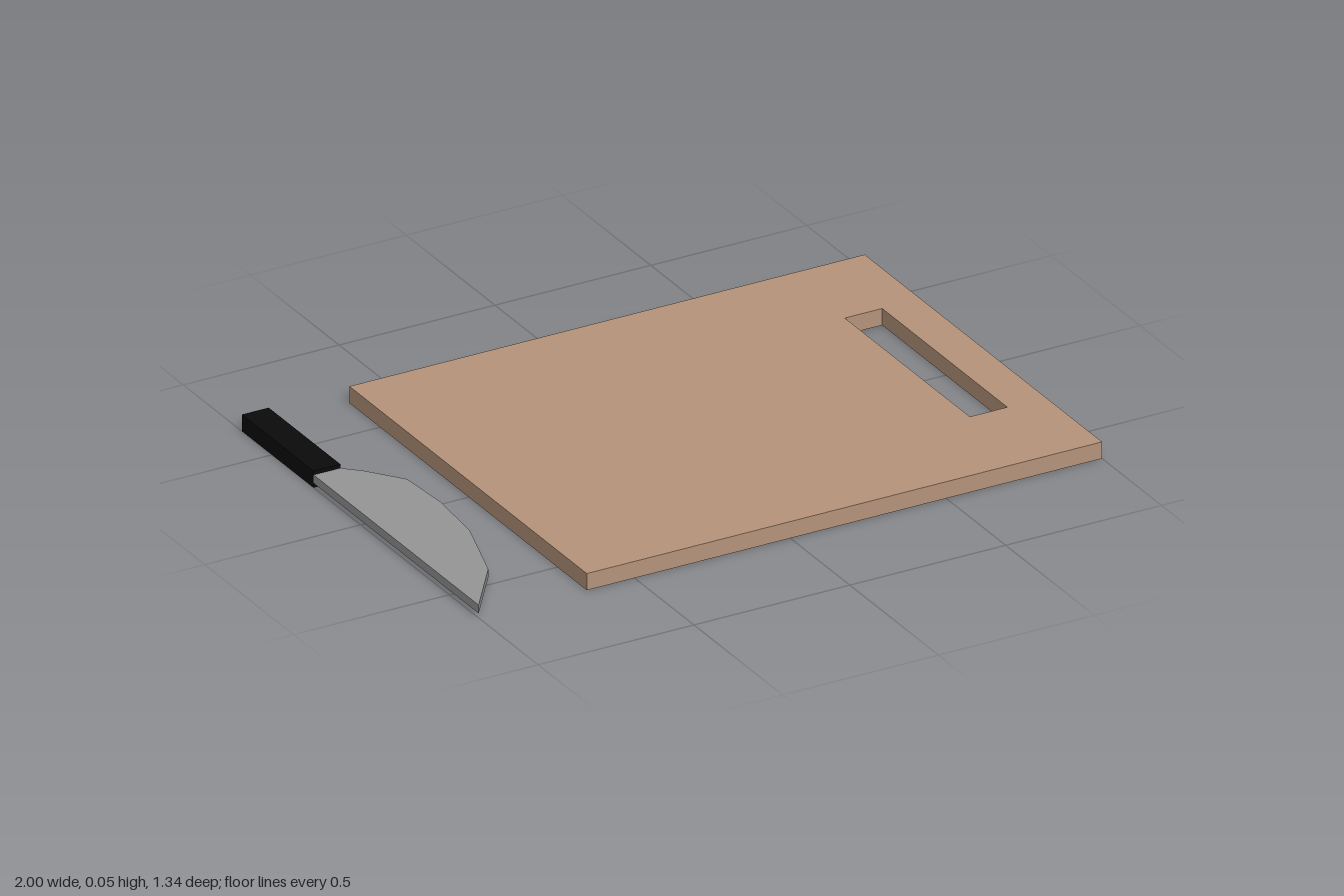
import * as THREE from 'three';

// Flat slab from an outline of [x, z] corners, spanning bottom..top in y
function slab(name, color, bottom, top, outline, holes = []) {
  const toPoints = (list) => list.map(([x, z]) => new THREE.Vector2(x, z));
  const shape = new THREE.Shape(toPoints(outline));
  for (const hole of holes) shape.holes.push(new THREE.Path(toPoints(hole)));
  const geometry = new THREE.ExtrudeGeometry(shape, { depth: top - bottom, bevelEnabled: false });
  geometry.rotateX(Math.PI / 2).translate(0, top, 0);
  const mesh = new THREE.Mesh(geometry, new THREE.MeshStandardMaterial({ color, flatShading: true }));
  mesh.name = name;
  return mesh;
}

const rect = (x0, x1, z0, z1) => [[x0, z0], [x1, z0], [x1, z1], [x0, z1]];

export function createModel() {
  const model = new THREE.Group();
  model.name = 'cuttingBoardAndKnife';

  // Board with a long grip slot
  model.add(slab('cuttingBoard', 0xb5937a, 0, 0.052,
    rect(-0.653, 1, -0.673, 0.665), [rect(0.757, 0.877, -0.358, 0.347)]));

  // Knife: straight spine on the outside, curved edge facing the board
  const knife = new THREE.Group();
  knife.name = 'knife';
  knife.add(slab('knifeHandle', 0x0a0a0a, 0, 0.052, rect(-1, -0.914, -0.669, -0.265)));
  knife.add(slab('knifeBlade', 0x959595, 0.014, 0.04, [
    [-1, -0.265], [-0.914, -0.265], [-0.866, -0.219], [-0.787, -0.115],
    [-0.775, 0.05], [-0.792, 0.25], [-0.866, 0.484], [-1, 0.665],
  ]));
  model.add(knife);
  return model;
}
